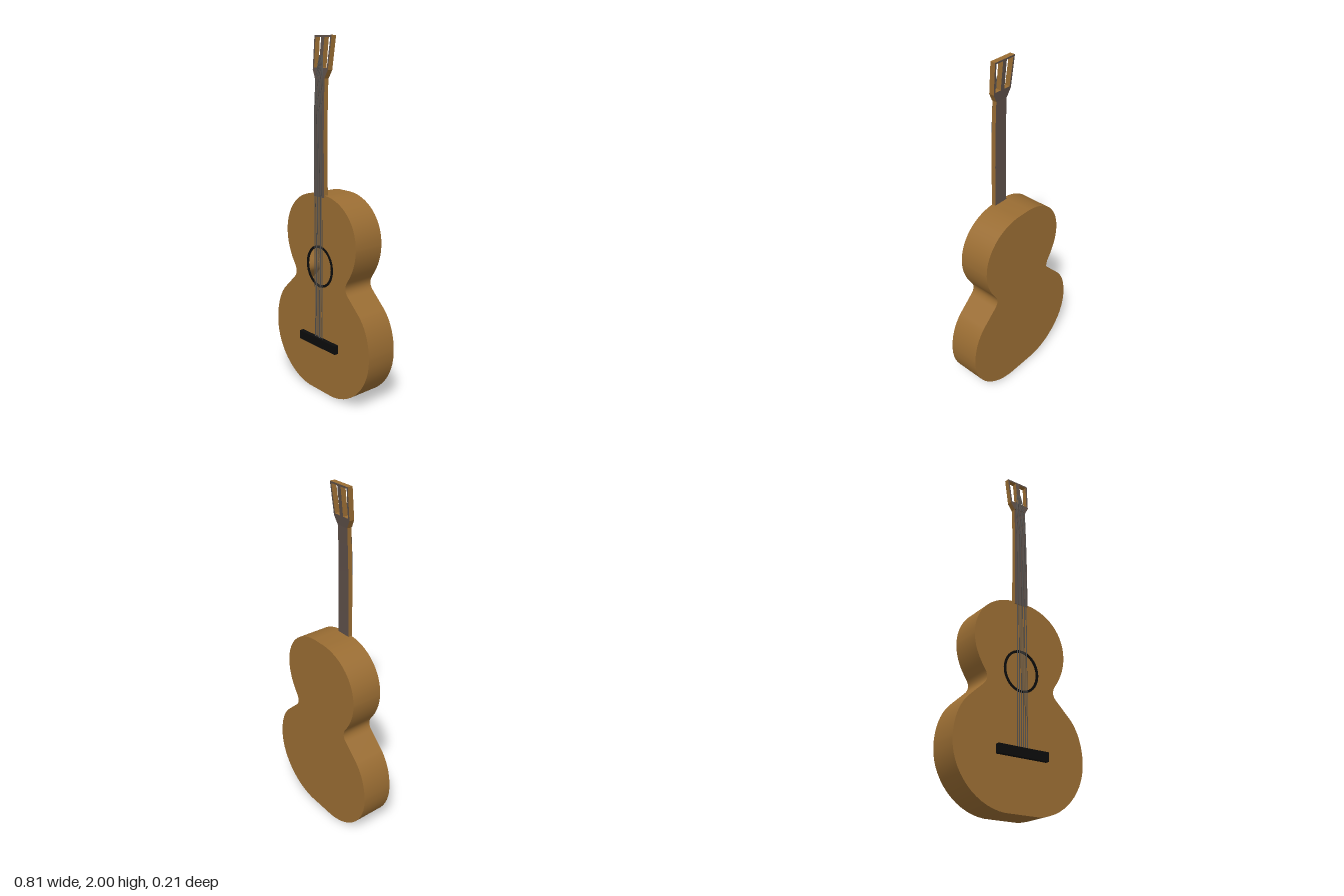
import * as THREE from 'three';

const mat = (color, side = THREE.FrontSide) => new THREE.MeshStandardMaterial({ color, side });
const wood = mat(0x9a6d33, THREE.DoubleSide);
const grey = mat(0x5e5049);
const black = mat(0x0c0c0c);
const stringMat = mat(0x55524f);

const BACK = -0.105, FRONT = 0.08;
const HOLE = { y: 0.755, rx: 0.102, ry: 0.112 };

function add(group, name, geometry, material) {
  const mesh = new THREE.Mesh(geometry, material);
  mesh.name = name;
  group.add(mesh);
  return mesh;
}

// Right half of the body outline, from bottom to top, then mirrored
function bodyOutline() {
  const half = new THREE.Path();
  half.moveTo(0.1, 0.003);
  half.bezierCurveTo(0.27, 0.015, 0.405, 0.16, 0.405, 0.325);
  half.bezierCurveTo(0.405, 0.41, 0.38, 0.495, 0.325, 0.552);
  half.lineTo(0.235, 0.637);
  half.bezierCurveTo(0.208, 0.662, 0.208, 0.69, 0.23, 0.722);
  half.bezierCurveTo(0.275, 0.785, 0.295, 0.85, 0.295, 0.91);
  half.bezierCurveTo(0.295, 1.05, 0.19, 1.155, 0.045, 1.163);
  const right = half.getPoints(14);
  const left = right.map(p => new THREE.Vector2(-p.x, p.y)).reverse();
  return [...right, ...left];
}

// Side wall of the body: short smooth strips between front and back
function rimGeometry(points) {
  const closed = [...points, points[0]];
  const pos = [], idx = [];
  closed.forEach((p, i) => {
    pos.push(p.x, p.y, BACK, p.x, p.y, FRONT);
    if (i) {
      const a = 2 * i - 2;
      idx.push(a, a + 2, a + 1, a + 1, a + 2, a + 3);
    }
  });
  const g = new THREE.BufferGeometry();
  g.setAttribute('position', new THREE.Float32BufferAttribute(pos, 3));
  g.setIndex(idx);
  g.computeVertexNormals();
  return g;
}

const ellipse = (rx, ry) => new THREE.Path().absellipse(0, HOLE.y, rx, ry, 0, Math.PI * 2);

function polygon(points, Type = THREE.Shape) {
  return new Type(points.map(([x, y]) => new THREE.Vector2(x, y)));
}

// Backward lean of neck and head at a given height
function lean(y) {
  if (y < 1.35) return 0;
  if (y < 1.78) return -0.01 * ((y - 1.35) / 0.43) ** 2;
  return -0.01 - 0.11 * (y - 1.78);
}

function bend(geometry) {
  const p = geometry.attributes.position;
  for (let i = 0; i < p.count; i++) p.setZ(i, p.getZ(i) + lean(p.getY(i)));
  geometry.computeVertexNormals();
  return geometry;
}

export function createModel() {
  const guitar = new THREE.Group();
  guitar.name = 'guitar';

  // Hollow body
  const body = new THREE.Group();
  body.name = 'body';
  guitar.add(body);
  const outline = bodyOutline();
  const top = new THREE.Shape(outline);
  top.holes.push(ellipse(HOLE.rx, HOLE.ry));
  add(body, 'soundboard', new THREE.ShapeGeometry(top, 24), wood).position.z = FRONT;
  const back = new THREE.ShapeGeometry(new THREE.Shape(outline)).rotateY(Math.PI);
  add(body, 'backPlate', back, wood).position.z = BACK;
  add(body, 'rim', rimGeometry(outline), wood);

  // Sound hole ring
  const ring = new THREE.Shape().absellipse(0, HOLE.y, 0.112, 0.12, 0, Math.PI * 2);
  ring.holes.push(ellipse(0.098, 0.107));
  const ringGeo = new THREE.ExtrudeGeometry(ring, { depth: 0.006, bevelEnabled: false, curveSegments: 24 });
  add(guitar, 'soundHoleRing', ringGeo, black).position.z = FRONT - 0.002;

  // Bridge
  const bridge = add(guitar, 'bridge', new THREE.BoxGeometry(0.312, 0.05, 0.025), black);
  bridge.position.set(0, 0.31, 0.0925);

  // Neck: slightly tapered, leaning back near its top
  const neck = new THREE.BoxGeometry(0.088, 0.63, 0.026, 1, 10, 1).translate(0, 1.465, 0.072);
  const np = neck.attributes.position;
  for (let i = 0; i < np.count; i++) {
    np.setX(i, np.getX(i) * (1 - 0.14 * (np.getY(i) - 1.15) / 0.63));
  }
  add(guitar, 'neck', bend(neck), [wood, wood, wood, wood, grey, grey]);

  // Slotted head with two windows
  const head = polygon([[-0.038, 1.78], [0.038, 1.78], [0.062, 1.825], [0.07, 2], [-0.07, 2], [-0.062, 1.825]]);
  for (const s of [-1, 1]) {
    head.holes.push(polygon([[s * 0.013, 1.835], [s * 0.052, 1.835], [s * 0.06, 1.99], [s * 0.013, 1.99]], THREE.Path));
  }
  const headGeo = new THREE.ExtrudeGeometry(head, { depth: 0.03, bevelEnabled: false });
  headGeo.translate(0, 0, 0.058);
  add(guitar, 'head', bend(headGeo), [grey, wood]);

  // Nut
  const nut = new THREE.BoxGeometry(0.074, 0.008, 0.006).translate(0, 1.785, 0.089);
  add(guitar, 'nut', bend(nut), grey);

  // Six strings from bridge to head
  const strings = new THREE.Group();
  strings.name = 'strings';
  guitar.add(strings);
  for (let i = 0; i < 6; i++) {
    const t = (i - 2.5) / 2.5;
    const path = new THREE.CurvePath();
    const pts = [[0.031, 0.32, 0.09], [0.029, 1.6, 0.09], [0.028, 1.79, 0.08], [0.012, 1.9, 0.066]]
      .map(([x, y, z]) => new THREE.Vector3(x * t, y, z));
    for (let k = 1; k < pts.length; k++) path.add(new THREE.LineCurve3(pts[k - 1], pts[k]));
    add(strings, 'string', new THREE.TubeGeometry(path, 40, 0.0026, 6), stringMat);
  }

  return guitar;
}
